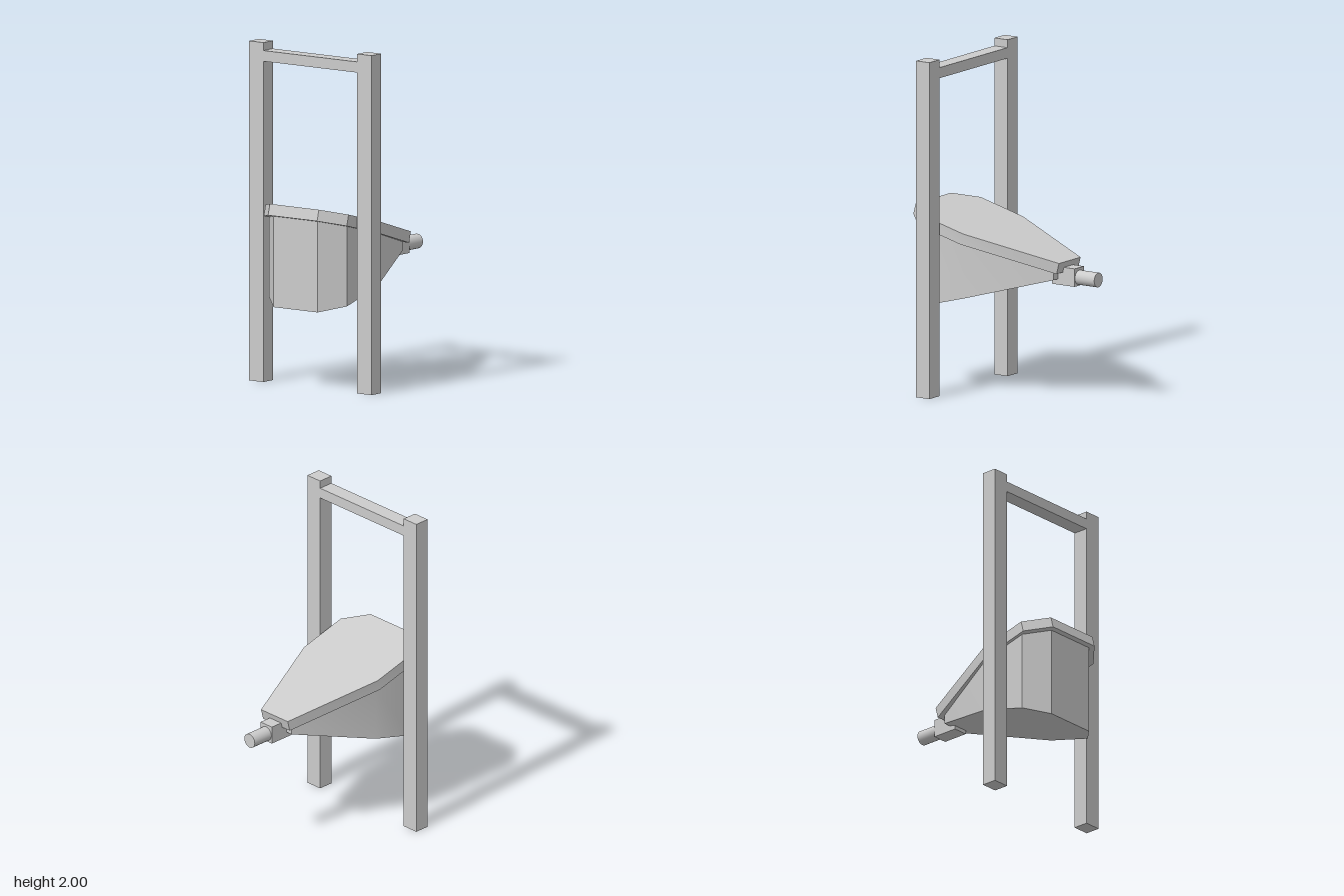
import * as THREE from 'three';
import { toCreasedNormals } from 'three/addons/utils/BufferGeometryUtils.js';

const material = new THREE.MeshStandardMaterial({ color: 0xcccccc });
const BUCKET_Z = 0.02; // the bucket hangs slightly off centre

function add(group, name, geometry, x, y, z) {
  const mesh = new THREE.Mesh(geometry, material);
  mesh.name = name;
  mesh.position.set(x, y, z);
  group.add(mesh);
  return mesh;
}

// Box from its minimum and maximum corners
function addBox(group, name, [x0, y0, z0], [x1, y1, z1]) {
  return add(group, name, new THREE.BoxGeometry(x1 - x0, y1 - y0, z1 - z0),
    (x0 + x1) / 2, (y0 + y1) / 2, (z0 + z1) / 2);
}

// Prism over a plan mirrored in z, given as [x, halfWidth] pairs;
// its bottom and top follow sloping planes, and the bottom may shift in x
function slopedPrism(half, bottom, top, bottomShift = 0) {
  const plan = [...half, ...half.map(([x, w]) => [x, -w]).reverse()];
  const shape = new THREE.Shape(plan.map(([x, w]) => new THREE.Vector2(x, w)));
  const geometry = new THREE.ExtrudeGeometry(shape, { depth: 1, bevelEnabled: false });
  geometry.rotateX(-Math.PI / 2);
  const p = geometry.attributes.position;
  for (let i = 0; i < p.count; i++) {
    const x = p.getX(i);
    if (p.getY(i) > 0.5) p.setY(i, top(x));
    else {
      p.setY(i, bottom(x));
      p.setX(i, x + bottomShift);
    }
  }
  return toCreasedNormals(geometry, 0.5);
}

export function createModel() {
  const model = new THREE.Group();
  model.name = 'hangingBucketFrame';

  // Upright frame
  const frame = new THREE.Group();
  frame.name = 'frame';
  addBox(frame, 'leftPost', [-0.4, 0, 0.345], [-0.307, 2, 0.45]);
  addBox(frame, 'rightPost', [-0.4, 0, -0.45], [-0.307, 2, -0.345]);
  addBox(frame, 'crossbar', [-0.4, 1.89, -0.345], [-0.307, 1.953, 0.345]);
  model.add(frame);

  // Tapered bucket with its sloping lid
  const bucket = new THREE.Group();
  bucket.name = 'bucket';
  bucket.position.z = BUCKET_Z;
  const lidTop = (x) => 1.09 - 0.264 * (x + 0.577);
  const lidBottom = (x) => lidTop(x) - 0.065;
  const underLid = (x) => 1.025 - 0.264 * (x + 0.594);
  const floor = (x) => 0.482 + 0.27 * (x + 0.566);
  add(bucket, 'bucketBody', slopedPrism(
    [[-0.566, 0.162], [-0.447, 0.285], [-0.16, 0.285], [0.338, 0.09]], floor, underLid), 0, 0, 0);
  add(bucket, 'lid', slopedPrism(
    [[-0.577, 0.18], [-0.456, 0.305], [-0.155, 0.305], [0.39, 0.11]], lidBottom, lidTop, -0.017), 0, 0, 0);

  // Handle at the narrow end
  addBox(bucket, 'handleBlock', [0.295, 0.693, -0.047], [0.457, 0.8, 0.047]);
  const grip = new THREE.CylinderGeometry(0.043, 0.043, 0.14, 32).rotateZ(-Math.PI / 2);
  add(bucket, 'handleGrip', grip, 0.523, 0.742, 0);
  model.add(bucket);

  return model;
}
